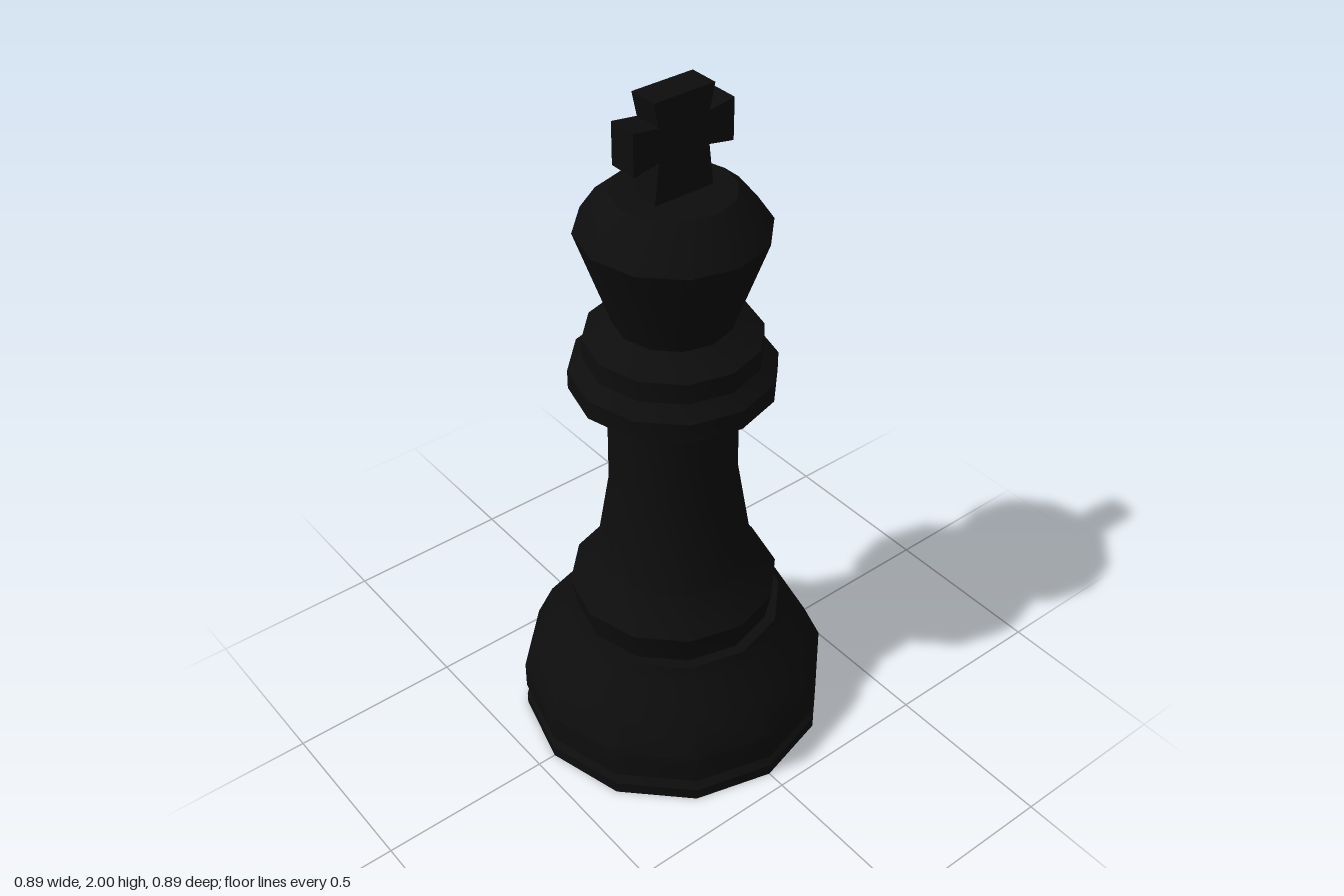
import * as THREE from 'three';
import { toCreasedNormals } from 'three/addons/utils/BufferGeometryUtils.js';

const SIDES = 12;
const CREASE = 0.56; // just over the 30 degree turn between neighbouring sides

export function createModel() {
  const group = new THREE.Group();
  group.name = 'chessPiece';
  const black = new THREE.MeshStandardMaterial({ color: 0x0d0d0d });
  black.name = 'black';

  // Turned part from [radius, height] pairs, bottom to top
  function turned(name, profile) {
    const points = profile.map(([r, y]) => new THREE.Vector2(r, y));
    const lathe = new THREE.LatheGeometry(points, SIDES);
    const mesh = new THREE.Mesh(toCreasedNormals(lathe, CREASE), black);
    mesh.name = name;
    group.add(mesh);
  }

  // Wide foot with a groove near the floor
  turned('base', [
    [0, 0], [0.445, 0], [0.445, 0.035], [0.425, 0.053], [0.445, 0.075],
    [0.445, 0.16], [0.395, 0.27], [0.33, 0.35], [0.312, 0.39], [0.28, 0.39],
  ]);

  // Flared skirt and slim column
  turned('stem', [
    [0.28, 0.39], [0.298, 0.48], [0.224, 0.58], [0.18, 0.85], [0.178, 1.12],
  ]);

  // Double ring below the head
  turned('collar', [
    [0.178, 1.12], [0.28, 1.16], [0.28, 1.215], [0.24, 1.25], [0.24, 1.31], [0.16, 1.355],
  ]);

  // Flared head with a bevelled flat top
  turned('head', [
    [0.16, 1.355], [0.254, 1.625], [0.21, 1.69], [0.163, 1.73], [0, 1.73],
  ]);

  // Cross: right half of the outline, mirrored for the left
  const half = [
    [0.092, 1.72], [0.077, 1.842], [0.153, 1.828],
    [0.153, 1.943], [0.077, 1.932], [0.092, 2],
  ];
  const outline = [...half, ...half.map(([x, y]) => [-x, y]).reverse()];
  const shape = new THREE.Shape(outline.map(([x, y]) => new THREE.Vector2(x, y)));
  const crossGeometry = new THREE.ExtrudeGeometry(shape, { depth: 0.084, bevelEnabled: false });
  crossGeometry.translate(0, 0, -0.042);
  const cross = new THREE.Mesh(crossGeometry, black);
  cross.name = 'cross';
  group.add(cross);

  return group;
}
